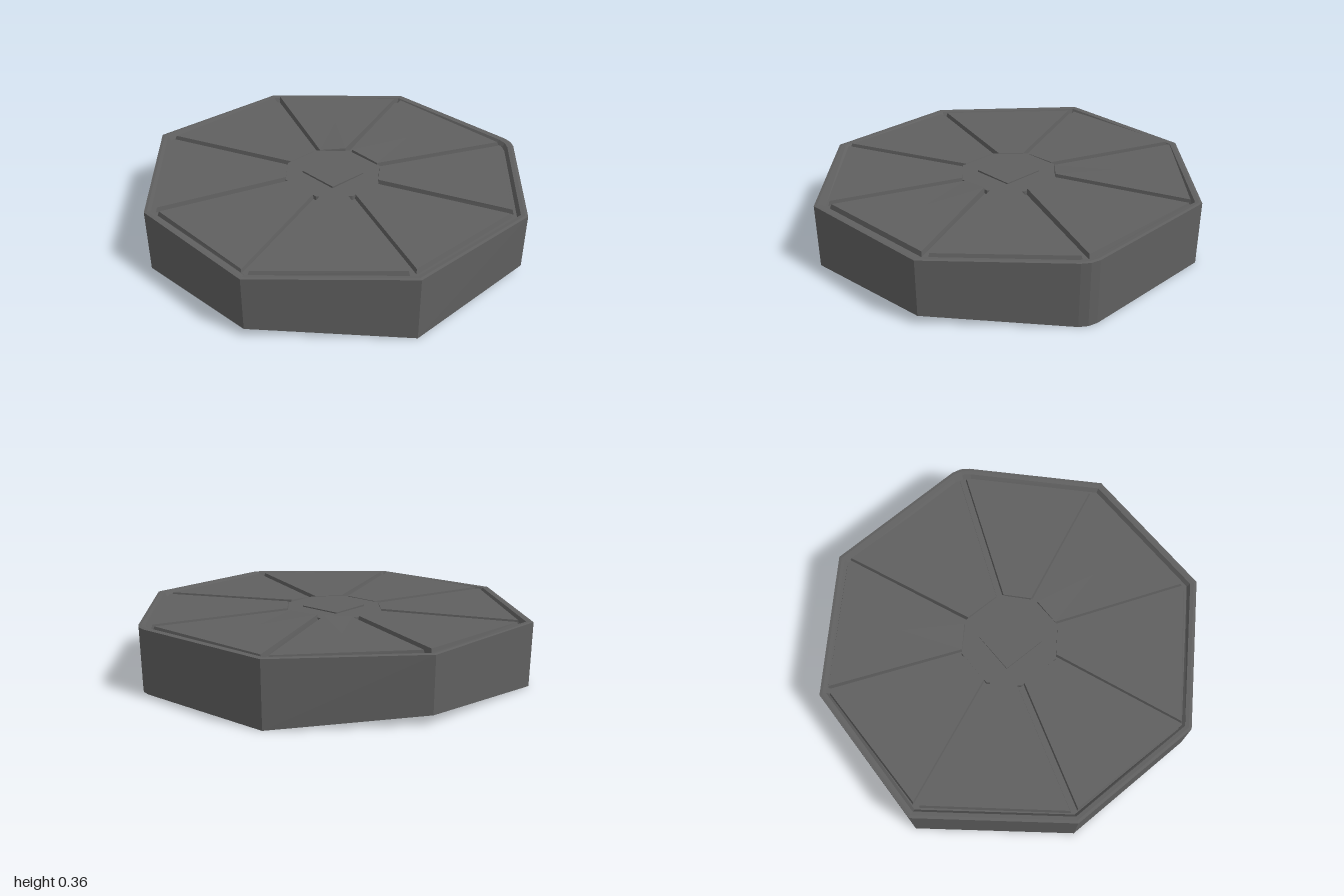
import * as THREE from 'three';

const stone = new THREE.MeshStandardMaterial({ color: 0x606060 });
stone.name = 'dark grey stone';

// Flat-faced mesh from a list of triangle corners.
function facets(name, corners) {
  const geo = new THREE.BufferGeometry();
  geo.setAttribute('position', new THREE.Float32BufferAttribute(corners.flat(), 3));
  geo.computeVertexNormals();
  const mesh = new THREE.Mesh(geo, stone);
  mesh.name = name;
  return mesh;
}

// Joins successive rings of [x, y, z] points; faces look outward.
function loft(name, rings) {
  const corners = [];
  for (let r = 0; r < rings.length - 1; r++) {
    const a = rings[r], b = rings[r + 1], n = a.length;
    for (let i = 0; i < n; i++) {
      const j = (i + 1) % n;
      corners.push(a[j], a[i], b[i], a[j], b[i], b[j]);
    }
  }
  return facets(name, corners);
}

// A ring shrunk to its middle, used to close a loft.
function middle(ring) {
  const c = [0, 1, 2].map(k => ring.reduce((s, p) => s + p[k], 0) / ring.length);
  return ring.map(() => c);
}

// A ring scaled about its own middle and moved to a given height.
function spread(ring, f, y) {
  const c = middle(ring)[0];
  return ring.map(p => [c[0] + (p[0] - c[0]) * f, y, c[2] + (p[2] - c[2]) * f]);
}

// Shifts point a by a fixed distance toward b in plan.
function toward(a, b, d) {
  const len = Math.hypot(b[0] - a[0], b[2] - a[2]);
  return [a[0] + (b[0] - a[0]) * d / len, a[1], a[2] + (b[2] - a[2]) * d / len];
}

export function createModel() {
  const group = new THREE.Group();
  group.name = 'octagonalSlab';
  const floorY = 0.32;

  // Uneven outline: x, z, bottom height, top height
  const outline = [
    [-0.42, -0.97, 0, 0.347], [0.39, -0.99, 0, 0.345], [0.44, -0.978, 0, 0.345],
    [0.48, -0.95, 0, 0.345], [1.0, -0.40, 0.045, 0.347], [1.0, 0.39, 0, 0.345],
    [0.415, 0.98, 0.04, 0.335], [-0.36, 0.98, 0, 0.345], [-1.0, 0.42, 0, 0.347],
    [-0.97, -0.39, 0.05, 0.347],
  ];
  const ring = (f, height) => outline.map(p => [p[0] * f, height(p), p[1] * f]);
  const bottom = ring(0.992, p => p[2]);
  const floor = ring(0.95, () => floorY);

  // Walls with a flat raised rim around the sunken floor
  group.add(loft('wallsAndRim', [
    bottom, ring(1, p => p[3] - 0.002), ring(0.985, p => p[3]),
    ring(0.965, p => p[3] - 0.002), floor, middle(floor),
  ]));

  // Underside, folded along a shallow crosswise ridge
  const folds = [
    [9, 0, 1], [9, 1, 2], [9, 2, 3], [9, 3, 4],
    [9, 4, 5], [9, 5, 8], [8, 5, 6], [8, 6, 7],
  ];
  group.add(facets('underside', folds.flat().map(i => bottom[i])));

  // Wedge panels, separated by narrow grooves
  const rim = [
    [-0.395, 0.347, -0.92], [0.41, 0.345, -0.92], [0.92, 0.345, -0.38], [0.925, 0.345, 0.365],
    [0.385, 0.34, 0.93], [-0.335, 0.345, 0.92], [-0.935, 0.345, 0.39], [-0.92, 0.358, -0.38],
  ];
  const hub = [
    [-0.12, 0.358, -0.235], [0.12, 0.352, -0.235], [0.25, 0.354, -0.09], [0.25, 0.345, 0.1],
    [0.12, 0.346, 0.24], [-0.12, 0.346, 0.24], [-0.25, 0.345, 0.11], [-0.25, 0.347, -0.1],
  ];
  for (let i = 0; i < 8; i++) {
    const j = (i + 1) % 8, gap = 0.022;
    const top = [
      toward(rim[i], rim[j], gap), toward(rim[j], rim[i], gap),
      toward(hub[j], hub[i], gap), toward(hub[i], hub[j], gap),
    ];
    group.add(loft('wedgePanel' + (i + 1), [spread(top, 1.02, floorY), top, middle(top)]));
  }

  // Central hub, a little lower than the panels
  const hubTop = spread(hub, 1, 0.343);
  group.add(loft('hub', [spread(hub, 1, floorY), hubTop, middle(hubTop)]));

  // Square tile on the hub
  const tileTop = [[-0.12, 0.349, -0.11], [0.12, 0.349, -0.11], [0.12, 0.353, 0.12], [-0.12, 0.352, 0.12]];
  group.add(loft('centreTile', [spread(tileTop, 1, 0.335), tileTop, middle(tileTop)]));

  return group;
}
